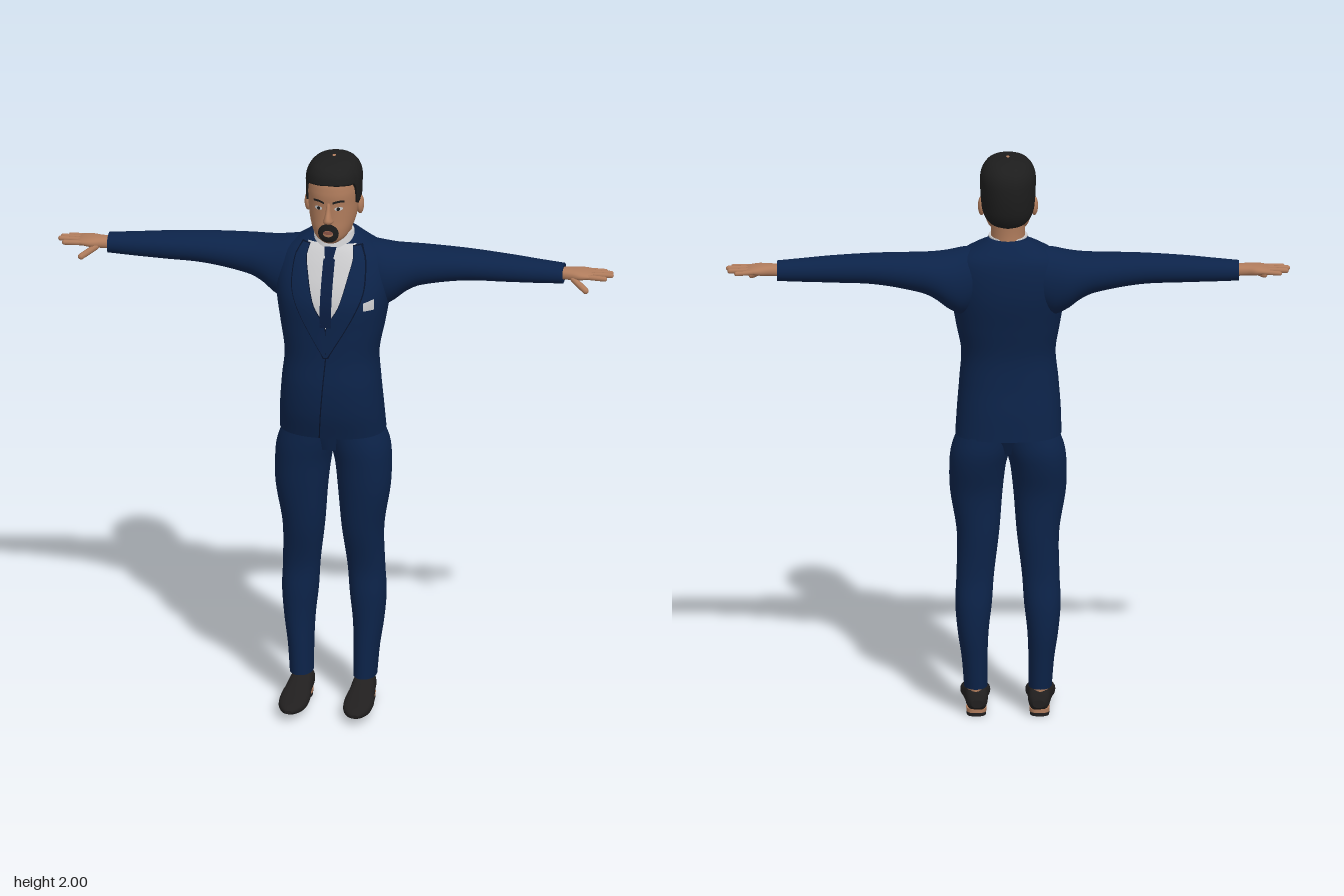
import * as THREE from 'three';

const paint = (name, color, side = THREE.FrontSide) => {
  const m = new THREE.MeshStandardMaterial({ color, side });
  m.name = name;
  return m;
};

// Smooth interpolation through rows of [t, ...values]
function sample(rows, t) {
  const last = rows.length - 1;
  let i = 0;
  while (i < last - 1 && t > rows[i + 1][0]) i++;
  const a = rows[i], b = rows[i + 1], h = b[0] - a[0];
  const s = Math.min(1, Math.max(0, (t - a[0]) / h));
  const slope = (k, c) => {
    const p = rows[Math.max(0, k - 1)], q = rows[Math.min(last, k + 1)];
    return (q[c] - p[c]) / (q[0] - p[0]);
  };
  return a.slice(1).map((v, j) => {
    const c = j + 1, s2 = s * s, s3 = s2 * s;
    return (2 * s3 - 3 * s2 + 1) * v + (s3 - 2 * s2 + s) * h * slope(i, c)
      + (3 * s2 - 2 * s3) * b[c] + (s3 - s2) * h * slope(i + 1, c);
  });
}

const power = (v, n) => Math.sign(v) * Math.pow(Math.abs(v), 2 / n);

function build(pos, idx) {
  const g = new THREE.BufferGeometry();
  g.setAttribute('position', new THREE.Float32BufferAttribute(pos, 3));
  g.setIndex(idx);
  g.computeVertexNormals();
  return g;
}

// Closed body along an axis; rows are [t, min, max, min, max] of the next two axes in cyclic order
function loft(axis, rows, n = 2, steps = 32, segs = 36) {
  const pos = [], idx = [], k = 'xyz'.indexOf(axis);
  const put = (t, a, b) => {
    const p = [];
    p[k] = t; p[(k + 1) % 3] = a; p[(k + 2) % 3] = b;
    pos.push(...p);
  };
  const ring = (t) => {
    const [a0, a1, b0, b1] = sample(rows, t);
    for (let j = 0; j < segs; j++) {
      const w = j / segs * Math.PI * 2;
      put(t, (a0 + a1) / 2 + (a1 - a0) / 2 * power(Math.cos(w), n),
        (b0 + b1) / 2 + (b1 - b0) / 2 * power(Math.sin(w), n));
    }
  };
  const t0 = rows[0][0], t1 = rows[rows.length - 1][0];
  for (let i = 0; i <= steps; i++) ring(t0 + (t1 - t0) * i / steps);
  for (let i = 0; i < steps; i++) for (let j = 0; j < segs; j++) {
    const a = i * segs + j, b = i * segs + (j + 1) % segs;
    idx.push(a, b, b + segs, a, b + segs, a + segs);
  }
  for (const t of [t0, t1]) {
    const base = pos.length / 3;
    ring(t);
    const [a0, a1, b0, b1] = sample(rows, t);
    put(t, (a0 + a1) / 2, (b0 + b1) / 2);
    for (let j = 0; j < segs; j++) {
      const a = base + j, b = base + (j + 1) % segs;
      if (t === t0) idx.push(base + segs, b, a); else idx.push(base + segs, a, b);
    }
  }
  return build(pos, idx);
}

// Thin patch laid on the front of an upright loft; f(u, v) gives [x, y]
function drape(rows, n, offset, f, nu = 8, nv = 24) {
  const pos = [], idx = [];
  for (let j = 0; j <= nv; j++) for (let i = 0; i <= nu; i++) {
    const [x, y] = f(i / nu, j / nv), [z0, z1, x0, x1] = sample(rows, y);
    const r = Math.min(1, Math.abs((x - (x0 + x1) / 2) / ((x1 - x0) / 2)));
    pos.push(x, y, (z0 + z1) / 2 + (z1 - z0) / 2 * Math.pow(1 - Math.pow(r, n), 1 / n) + offset);
  }
  for (let j = 0; j < nv; j++) for (let i = 0; i < nu; i++) {
    const a = j * (nu + 1) + i, b = a + nu + 1;
    idx.push(a, a + 1, b + 1, a, b + 1, b);
  }
  return build(pos, idx);
}

const strip = (y0, y1, left, right) => (u, v) => {
  const y = y0 + (y1 - y0) * v, l = left(y), r = right(y);
  return [l + (r - l) * u, y];
};
const oval = (cx, cy, rx, ry, ix = 0, iy = 0) => (u, v) => {
  const w = v * Math.PI * 2;
  return [cx + Math.cos(w) * (ix + (rx - ix) * u), cy + Math.sin(w) * (iy + (ry - iy) * u)];
};

function finger(a, b, r) {
  const p = new THREE.Vector3(...a), q = new THREE.Vector3(...b), d = q.clone().sub(p);
  const g = new THREE.CapsuleGeometry(r, d.length() - r, 4, 10);
  g.applyQuaternion(new THREE.Quaternion().setFromUnitVectors(new THREE.Vector3(0, 1, 0), d.clone().normalize()));
  const c = p.add(q).multiplyScalar(0.5);
  return g.translate(c.x, c.y, c.z);
}

function mirror(g) {
  const m = g.clone().scale(-1, 1, 1), ix = m.index.array;
  for (let i = 0; i < ix.length; i += 3) [ix[i], ix[i + 1]] = [ix[i + 1], ix[i]];
  return m;
}

const TORSO = [[1.01, -.175, .09, -.183, .18], [1.1, -.17, .113, -.18, .174], [1.2, -.16, .12, -.172, .166],
  [1.3, -.158, .112, -.163, .16], [1.4, -.175, .11, -.178, .178], [1.5, -.195, .107, -.194, .194],
  [1.56, -.2, .088, -.198, .198], [1.62, -.197, .056, -.19, .19], [1.66, -.187, .03, -.168, .168],
  [1.69, -.168, .004, -.12, .12], [1.72, -.145, -.05, -.072, .072]];
const HEAD = [[1.712, -.02, .042, -.028, .028], [1.73, -.06, .057, -.052, .052], [1.76, -.12, .062, -.07, .07],
  [1.8, -.15, .06, -.081, .081], [1.85, -.165, .06, -.086, .086], [1.9, -.17, .063, -.087, .087],
  [1.95, -.16, .05, -.075, .075], [1.985, -.12, 0, -.04, .04]];
const HAIR = [[1.76, .062, 0, -.138], [1.8, .086, .05, -.165], [1.85, .093, .07, -.178], [1.9, .095, .072, -.183],
  [1.94, .094, .07, -.18], [1.97, .081, .06, -.164], [1.99, .055, .03, -.13], [2, .006, -.045, -.065]];
const HAIRLINE = [[0, 1.935], [.8, 1.928], [1.1, 1.915], [1.25, 1.845], [1.45, 1.85], [1.7, 1.835], [2.2, 1.785], [3.15, 1.768]];
const LAPEL = [[1.32, 0, .006], [1.43, .004, .07], [1.5, .042, .105], [1.55, .058, .122], [1.6, .07, .125],
  [1.66, .082, .118], [1.69, .075, .1]];

// Hair shell with a hairline that changes around the head
function hairShell(segs = 56, steps = 22) {
  const pos = [], idx = [];
  for (let i = 0; i <= steps; i++) for (let j = 0; j < segs; j++) {
    const w = (j / segs - .5) * Math.PI * 2, low = sample(HAIRLINE, Math.abs(w))[0];
    const y = low + (2 - low) * Math.sin(Math.max(0, i - 1) / (steps - 1) * Math.PI / 2);
    const [hw, zf, zb] = sample(HAIR, y), k = i ? 1 : .86;
    pos.push(hw * k * power(Math.sin(w), 2.2), y, (zf + zb) / 2 + (zf - zb) / 2 * k * power(Math.cos(w), 2.2));
  }
  for (let i = 0; i < steps; i++) for (let j = 0; j < segs; j++) {
    const a = i * segs + j, b = i * segs + (j + 1) % segs;
    idx.push(a, b, b + segs, a, b + segs, a + segs);
  }
  return build(pos, idx);
}

export function createModel() {
  const model = new THREE.Group();
  const navy = paint('navySuit', 0x0c2349), dark = paint('darkSeam', 0x06122a), tieBlue = paint('tieNavy', 0x0b1d40);
  const white = paint('shirtWhite', 0xc9c9cb), skin = paint('skin', 0xb07c5c), lip = paint('lip', 0x8c5546);
  const black = paint('hairBlack', 0x1d1d1d, THREE.DoubleSide), leather = paint('shoeLeather', 0x211f1f);
  const add = (name, geo, mat) => {
    const mesh = new THREE.Mesh(geo, mat);
    mesh.name = name;
    model.add(mesh);
  };
  const pair = (name, geo, mat) => {
    add(name + 'Left', geo, mat);
    add(name + 'Right', mirror(geo), mat);
  };

  // Jacket and sleeves
  add('jacket', loft('y', TORSO, 2.4, 56, 56), navy);
  pair('sleeve', loft('x', [[.08, 1.5, 1.69, -.17, -.02], [.15, 1.45, 1.683, -.186, .015], [.2, 1.47, 1.673, -.195, .013],
    [.25, 1.51, 1.668, -.195, 0], [.3, 1.533, 1.667, -.189, -.012], [.45, 1.56, 1.664, -.17, -.026],
    [.6, 1.565, 1.655, -.155, -.036], [.7, 1.567, 1.646, -.145, -.046], [.79, 1.57, 1.638, -.138, -.055]], 2.1, 44), navy);

  // Shirt, tie, lapels and front seam
  const inner = y => sample(LAPEL, y)[0], outer = y => sample(LAPEL, y)[1];
  add('shirtFront', drape(TORSO, 2.4, .003, strip(1.42, 1.695, y => -inner(y) - .008, y => inner(y) + .008), 16), white);
  add('shirtCollar', loft('y', [[1.65, -.15, .03, -.085, .085], [1.69, -.14, .014, -.077, .077], [1.725, -.135, .003, -.066, .066]]), white);
  add('tie', drape(TORSO, 2.4, .009, strip(1.43, 1.655, () => -.02, () => .02)), tieBlue);
  add('tieKnot', drape(TORSO, 2.4, .014, strip(1.645, 1.69, y => -.012 - (y - 1.645) * .2, y => .012 + (y - 1.645) * .2)), tieBlue);
  pair('lapelEdge', drape(TORSO, 2.4, .005, strip(1.315, 1.692, y => inner(y) - .002, y => outer(y) + .004)), dark);
  pair('lapel', drape(TORSO, 2.4, .009, strip(1.32, 1.69, inner, outer)), navy);
  add('jacketSeam', drape(TORSO, 2.4, .002, strip(1.012, 1.325, y => -.028 + (y - 1.01) * .085, y => -.024 + (y - 1.01) * .085), 1), dark);
  add('pocketSquare', drape(TORSO, 2.4, .006, (u, v) => [.125 + .034 * u, 1.488 + v * (.028 + .01 * u)], 4, 4), white);

  // Trousers
  add('trouserSeat', loft('y', [[.95, -.12, .05, -.08, .08], [1.03, -.16, .07, -.16, .16]]), navy);
  pair('trouserLeg', loft('y', [[.1, -.105, .02, .07, .15], [.2, -.118, .018, .07, .158], [.3, -.13, .015, .066, .172],
    [.4, -.13, .015, .055, .18], [.5, -.118, .012, .048, .176], [.65, -.122, .042, .03, .175], [.8, -.13, .062, .018, .198],
    [.9, -.155, .07, .006, .2], [.96, -.165, .075, -.01, .193], [1.03, -.16, .075, -.02, .165]], 2.15, 44), navy);

  // Feet
  pair('ankle', loft('y', [[.06, -.088, .0, .078, .138], [.13, -.088, .0, .08, .14]], 2, 4), skin);
  pair('shoe', loft('z', [[-.098, .085, .125, .032, .06], [-.085, .072, .14, .018, .092], [-.03, .068, .148, .016, .1],
    [.02, .066, .154, .018, .085], [.08, .06, .162, .015, .07], [.14, .066, .158, .015, .058],
    [.18, .084, .142, .02, .05], [.198, .102, .126, .028, .04]], 2.4), leather);
  pair('heelStrip', loft('y', [[.012, -.093, -.015, .074, .142], [.026, -.093, -.015, .073, .143]], 2.6, 2), skin);
  pair('heel', loft('y', [[0, -.092, -.015, .075, .141], [.012, -.092, -.015, .074, .142]], 2.6, 2), leather);

  // Hands
  pair('palm', loft('x', [[.77, 1.585, 1.625, -.122, -.07], [.82, 1.588, 1.626, -.126, -.058], [.85, 1.591, 1.625, -.137, -.05],
    [.88, 1.597, 1.62, -.139, -.053], [.895, 1.601, 1.615, -.135, -.058]], 2.4, 16, 24), skin);
  const fingers = [[[.87, 1.608, -.131], [.932, 1.605, -.137], .008], [[.87, 1.609, -.109], [.955, 1.608, -.113], .009],
    [[.87, 1.609, -.086], [.96, 1.61, -.088], .009], [[.87, 1.608, -.064], [.942, 1.607, -.06], .009],
    [[.825, 1.6, -.066], [.88, 1.566, -.034], .011]];
  fingers.forEach((f, i) => pair(i === 4 ? 'thumb' : 'finger' + (i + 1), finger(...f), skin));

  // Head
  add('neck', loft('y', [[1.65, -.145, -.005, -.06, .06], [1.73, -.137, -.005, -.058, .058], [1.82, -.145, 0, -.062, .062]]), skin);
  add('head', loft('y', HEAD, 2.2, 40, 44), skin);
  add('hair', hairShell(), black);
  add('nose', loft('y', [[1.791, .04, .068, -.012, .012], [1.801, .04, .088, -.018, .018], [1.813, .04, .089, -.014, .014],
    [1.84, .04, .074, -.009, .009], [1.868, .04, .062, -.008, .008]], 2, 16, 20), skin);
  pair('ear', new THREE.SphereGeometry(1, 16, 12).scale(.013, .034, .022).translate(.09, 1.825, -.058), skin);

  // Face details
  const face = (offset, f) => drape(HEAD, 2.2, offset, f, 4, 28);
  pair('eyeWhite', face(.003, oval(.035, 1.847, .014, .007)), white);
  pair('iris', face(.005, oval(.034, 1.847, .006, .0065)), black);
  pair('eyebrow', face(.004, (u, v) => [.015 + .038 * u, 1.865 + .006 * Math.sin(u * 2.5) + .008 * v]), black);
  add('beardRing', face(.007, oval(0, 1.757, .036, .036, .018, .012)), black);
  add('lips', face(.005, oval(0, 1.76, .018, .007)), lip);
  return model;
}
